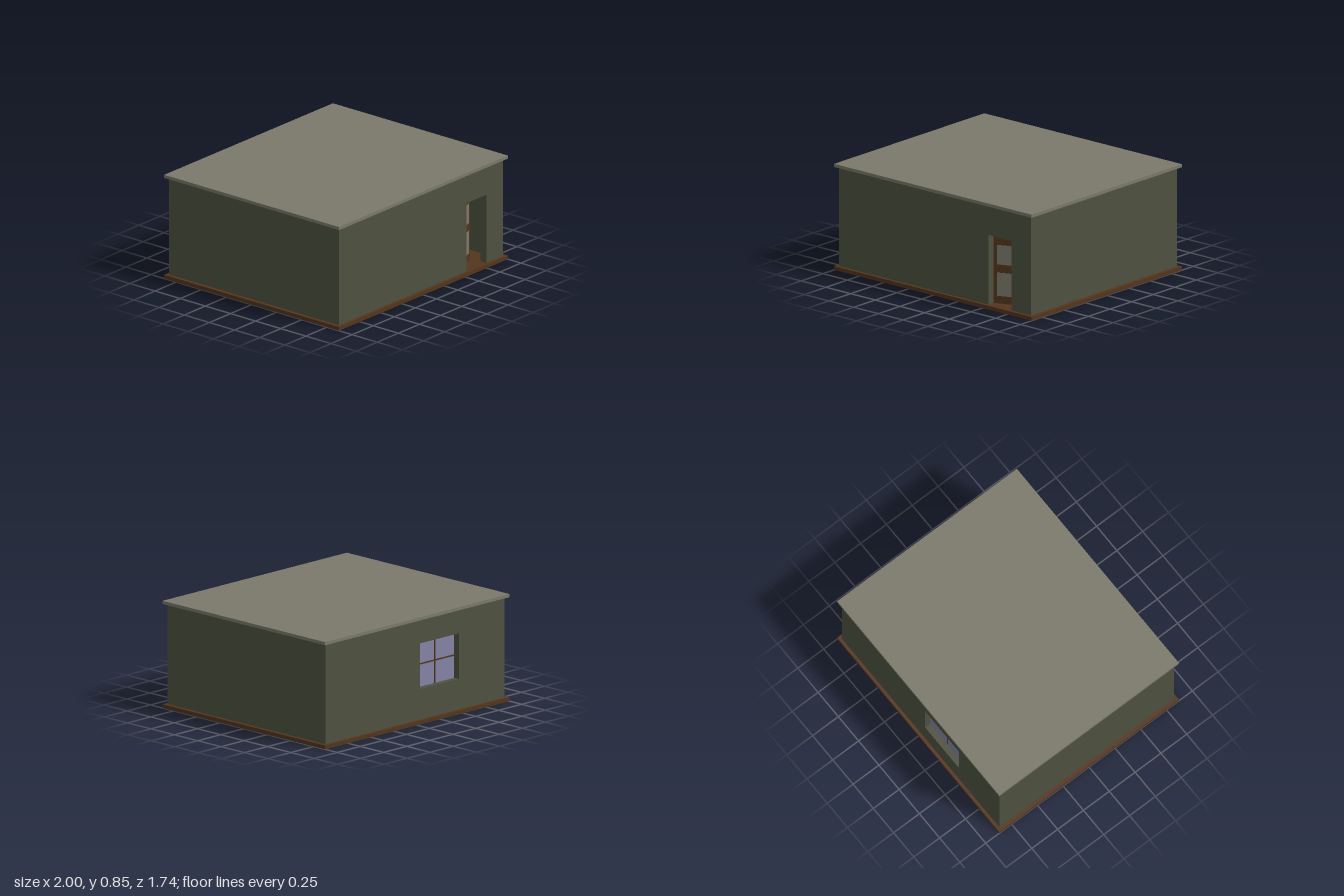
import * as THREE from 'three';

const mat = (name, color) => {
  const m = new THREE.MeshStandardMaterial({ color });
  m.name = name;
  return m;
};

export function createModel() {
  const house = new THREE.Group();
  house.name = 'house';
  const stone = mat('warm grey', 0x7b796a);
  const green = mat('dark green', 0x4e5240);
  const wood = mat('brown wood', 0x53351c);
  const glass = mat('pale blue glass', 0x8484a6);

  // Box given by its lower and upper limits on each axis
  const box = (name, material, [x0, x1], [y0, y1], [z0, z1], parent = house) => {
    const mesh = new THREE.Mesh(new THREE.BoxGeometry(x1 - x0, y1 - y0, z1 - z0), material);
    mesh.position.set((x0 + x1) / 2, (y0 + y1) / 2, (z0 + z1) / 2);
    mesh.name = name;
    parent.add(mesh);
    return mesh;
  };

  const W = 0.97, D = 0.845, T = 0.06, FLOOR = 0.03, TOP = 0.82;
  const door = { x0: 0.54, x1: 0.775, y1: 0.585 };
  const win = { x0: -0.475, x1: -0.055, y0: 0.27, y1: 0.63 };
  const outline = (pts) => pts.map(([x, y]) => new THREE.Vector2(x, y));

  // Floor and flat roof slabs
  box('floorSlab', wood, [-1, 1], [0, FLOOR], [-0.87, 0.87]);
  box('roofSlab', stone, [-1, 1], [TOP, 0.845], [-0.87, 0.87]);

  // Front wall with a doorway, back wall with a window opening
  const wall = (name, shape, z) => {
    const geo = new THREE.ExtrudeGeometry(shape, { depth: T, bevelEnabled: false });
    const mesh = new THREE.Mesh(geo, green);
    mesh.position.z = z;
    mesh.name = name;
    house.add(mesh);
  };
  wall('frontWall', new THREE.Shape(outline([
    [-W, FLOOR], [door.x0, FLOOR], [door.x0, door.y1], [door.x1, door.y1],
    [door.x1, FLOOR], [W, FLOOR], [W, TOP], [-W, TOP],
  ])), D - T);
  const back = new THREE.Shape(outline([[-W, FLOOR], [W, FLOOR], [W, TOP], [-W, TOP]]));
  back.holes.push(new THREE.Path(outline([
    [win.x0, win.y0], [win.x0, win.y1], [win.x1, win.y1], [win.x1, win.y0],
  ])));
  wall('backWall', back, -D);

  // Side walls
  for (const s of [-1, 1]) {
    const a = s * W, b = s * (W - T);
    box(s > 0 ? 'leftWall' : 'rightWall', green, [Math.min(a, b), Math.max(a, b)],
      [FLOOR, TOP], [-D + T, D - T]);
  }

  // Window: recessed pane with thin crossing bars
  const zGlass = -D + 0.05;
  box('windowPane', glass, [win.x0, win.x1], [win.y0, win.y1], [zGlass, zGlass + 0.008]);
  const cx = (win.x0 + win.x1) / 2, cy = (win.y0 + win.y1) / 2;
  const barZ = [zGlass - 0.001, zGlass + 0.009];
  box('windowBarUpright', wood, [cx - 0.006, cx + 0.006], [win.y0, win.y1], barZ);
  box('windowBarCross', wood, [win.x0, win.x1], [cy - 0.006, cy + 0.006], barZ);

  // Door standing ajar, hinged on one edge, with two panels
  const leaf = new THREE.Group();
  leaf.name = 'door';
  leaf.position.set(door.x0, FLOOR, D - T);
  leaf.rotation.y = 0.38;
  house.add(leaf);
  box('doorLeaf', wood, [0, 0.225], [0, 0.553], [-0.02, 0], leaf);
  for (const [y0, y1] of [[0.06, 0.245], [0.31, 0.465]]) {
    box('doorPanel', stone, [0.027, 0.198], [y0, y1], [-0.022, 0.002], leaf);
  }

  // Cabinet inside, seen through the gap of the door
  box('cabinetBody', wood, [0.62, 0.88], [FLOOR, 0.295], [-0.76, -0.56]);
  box('cabinetTop', wood, [0.61, 0.89], [0.295, 0.33], [-0.77, -0.55]);
  box('cabinetHandle', glass, [0.73, 0.78], [0.165, 0.195], [-0.56, -0.55]);

  return house;
}
